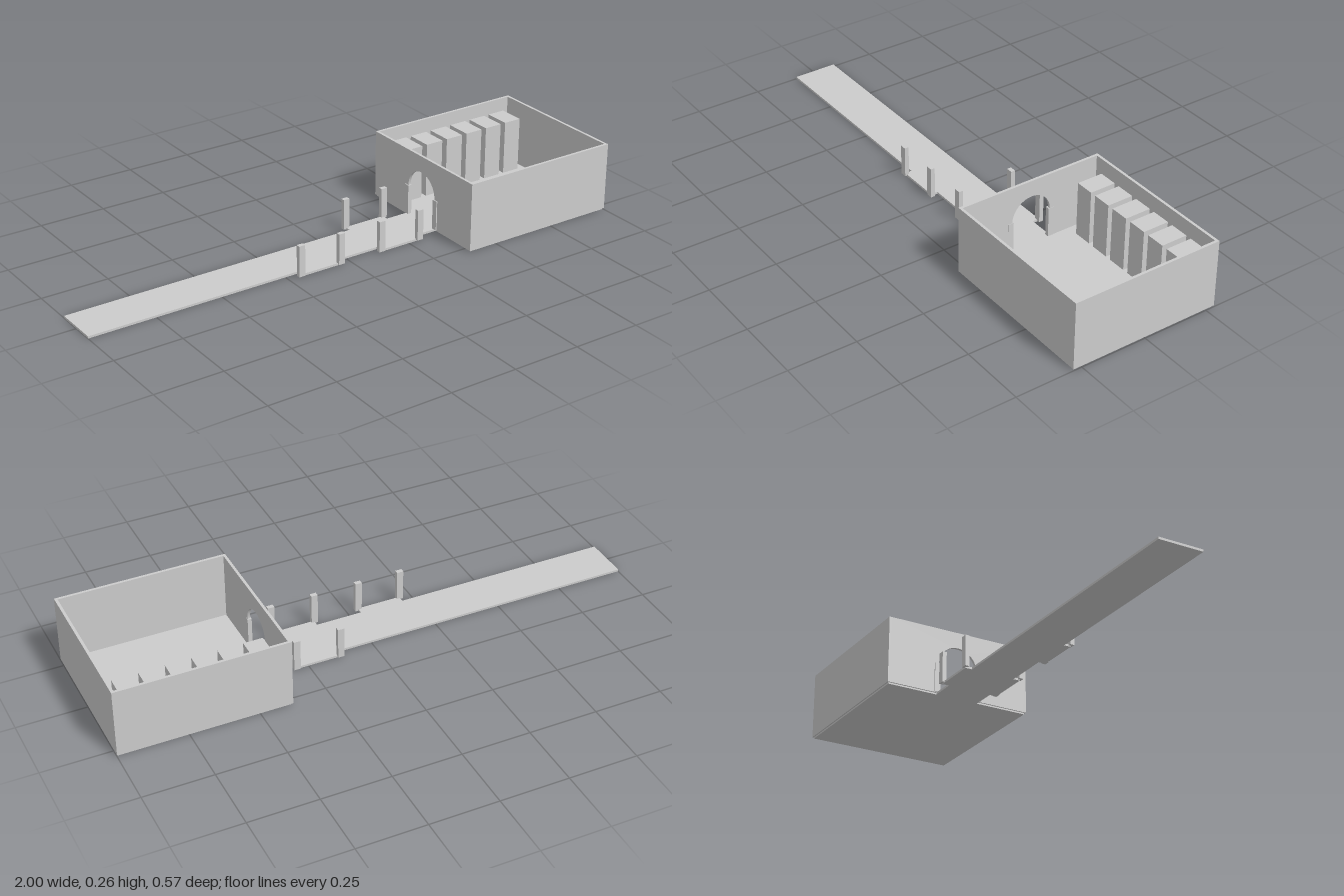
import * as THREE from 'three';

const material = new THREE.MeshStandardMaterial({ color: 0xcccccc, flatShading: true });

// Box given by its min and max corners
function block(name, [x0, y0, z0], [x1, y1, z1]) {
  const mesh = new THREE.Mesh(new THREE.BoxGeometry(x1 - x0, y1 - y0, z1 - z0), material);
  mesh.position.set((x0 + x1) / 2, (y0 + y1) / 2, (z0 + z1) / 2);
  mesh.name = name;
  return mesh;
}

export function createModel() {
  const model = new THREE.Group();
  const floorTop = 0.008, wallTop = 0.258, wall = 0.01;
  const x0 = 0.383, x1 = 1, zr = 0.283;
  const pathZ = -0.003, pathHalf = 0.083;

  // Room floor and plain walls
  const room = new THREE.Group();
  room.name = 'room';
  room.add(
    block('roomFloor', [x0 + 0.005, 0, -0.278], [x1 - 0.005, floorTop, 0.278]),
    block('frontWall', [x0, 0.006, zr - wall], [x1, wallTop, zr]),
    block('backWall', [x0, 0.006, -zr], [x1, wallTop, -zr + wall]),
    block('endWall', [x1 - wall, 0.006, -zr + wall], [x1, wallTop, zr - wall])
  );

  // Entrance wall with a round-topped doorway, drawn in z and y
  const half = zr - wall, spring = 0.12, r = 0.077;
  const shape = new THREE.Shape();
  shape.moveTo(-half, 0.006);
  shape.lineTo(pathZ - r, 0.006);
  shape.lineTo(pathZ - r, spring);
  shape.absarc(pathZ, spring, r, Math.PI, 0, true);
  shape.lineTo(pathZ + r, 0.006);
  shape.lineTo(half, 0.006);
  shape.lineTo(half, wallTop);
  shape.lineTo(-half, wallTop);
  const entranceGeo = new THREE.ExtrudeGeometry(shape, { depth: wall, bevelEnabled: false, curveSegments: 20 });
  entranceGeo.rotateY(-Math.PI / 2);
  const entrance = new THREE.Mesh(entranceGeo, material);
  entrance.position.x = x0 + wall;
  entrance.name = 'entranceWall';
  room.add(entrance);

  // Door posts
  for (const s of [-1, 1]) {
    const z = pathZ + s * pathHalf;
    room.add(block('doorPost', [x0 - 0.004, floorTop, z - 0.011], [x0 + wall + 0.001, spring, z + 0.011]));
  }

  // Row of cabinets along the back wall
  for (let i = 0; i < 6; i++) {
    const x = 0.47 + i * 0.0912;
    room.add(block('cabinet', [x - 0.035, floorTop, -0.262], [x + 0.035, 0.212, -0.163]));
  }
  model.add(room);

  // Long walkway
  const walkway = new THREE.Group();
  walkway.name = 'walkway';
  walkway.add(block('walkwayFloor', [-1, 0, pathZ - pathHalf], [x0 + 0.005, floorTop, pathZ + pathHalf]));

  // Side bays, each with a pillar at both outer corners
  for (const [a, b, side] of [[-0.203, -0.04, 1], [0.13, 0.294, 1], [0.13, 0.294, -1]]) {
    const inner = pathZ + side * pathHalf, outer = pathZ + side * 0.109;
    walkway.add(block('bayFloor', [a, 0, Math.min(inner, outer)], [b, floorTop, Math.max(inner, outer)]));
    for (const x of [a, b]) {
      walkway.add(block('pillar', [x - 0.012, 0.004, outer - 0.008], [x + 0.012, 0.12, outer + 0.008]));
    }
  }
  model.add(walkway);
  return model;
}
